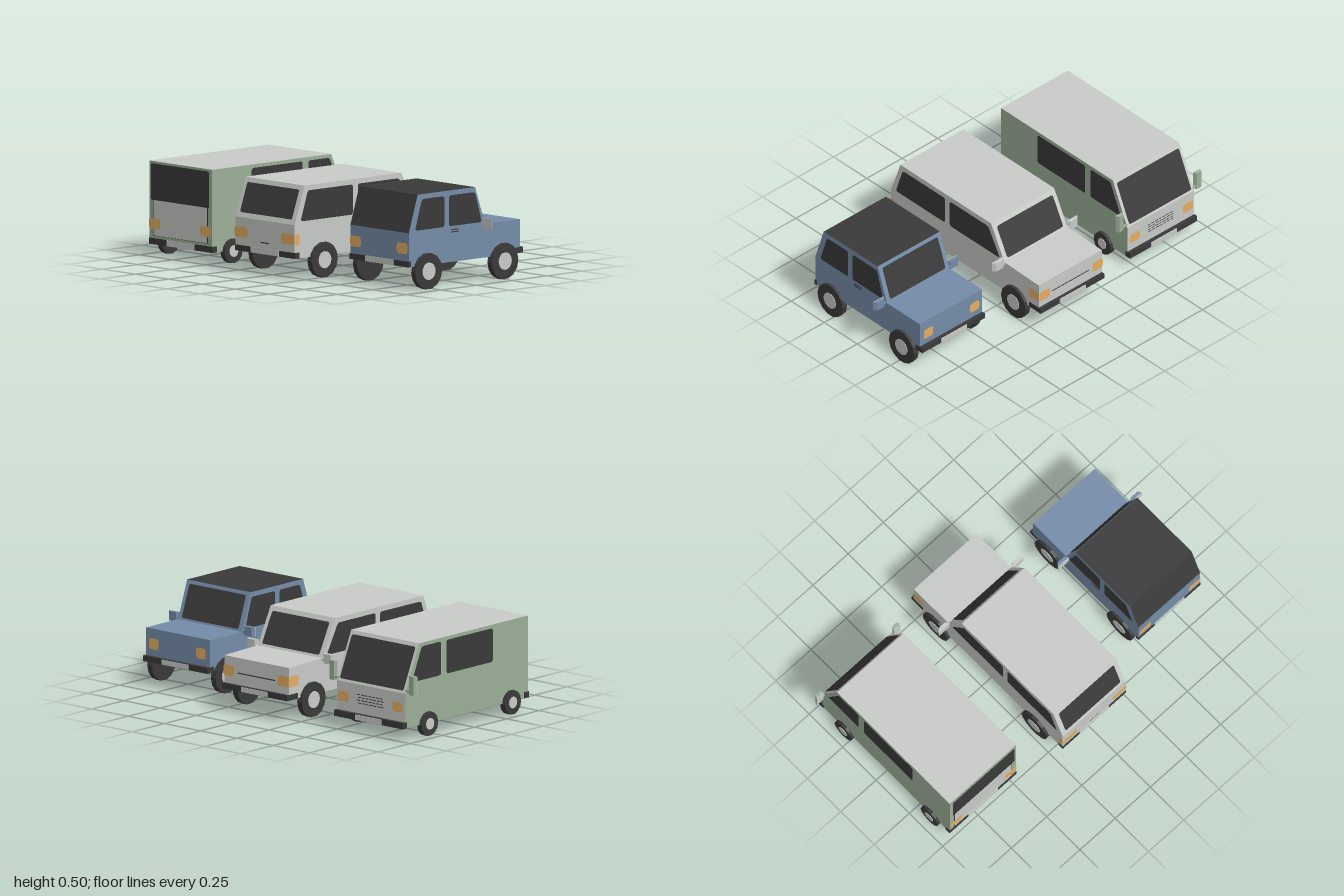
import * as THREE from 'three';

const paint = (name, color) => Object.assign(new THREE.MeshStandardMaterial({ color }), { name });

export function createModel() {
  const silver = paint('silver', 0xc8cbc7), blue = paint('blue', 0x758ca8), green = paint('green', 0x9bb098);
  const dark = paint('dark', 0x3a3a3a), amber = paint('amber', 0xe8ae62);
  const model = new THREE.Group();
  model.name = 'vehicles';

  const add = (parent, name, geo, mat, x = 0, y = 0, z = 0) => {
    const m = new THREE.Mesh(geo, mat);
    m.name = name;
    m.position.set(x, y, z);
    parent.add(m);
    return m;
  };
  const box = (parent, name, mat, x0, x1, y0, y1, z0, z1) =>
    add(parent, name, new THREE.BoxGeometry(Math.abs(x1 - x0), y1 - y0, Math.abs(z1 - z0)), mat,
      (x0 + x1) / 2, (y0 + y1) / 2, (z0 + z1) / 2);

  // Flat polygon with rounded corners
  function rounded(pts, r) {
    const v = pts.map(p => new THREE.Vector2(...p)), s = new THREE.Shape();
    v.forEach((p, i) => {
      const a = v[(i + v.length - 1) % v.length], b = v[(i + 1) % v.length];
      const p0 = a.clone().sub(p).setLength(r).add(p), p1 = b.clone().sub(p).setLength(r).add(p);
      if (i) s.lineTo(p0.x, p0.y); else s.moveTo(p0.x, p0.y);
      s.quadraticCurveTo(p.x, p.y, p1.x, p1.y);
    });
    s.closePath();
    return new THREE.ShapeGeometry(s, 3);
  }

  // Thin plates on both sides, outline given as [z, y]
  function sidePlates(car, name, half, pts, mat, r = 0.015) {
    for (const s of [1, -1]) {
      const g = rounded(pts.map(([z, y]) => [-s * z, y]), r);
      g.rotateY(s * Math.PI / 2);
      add(car, name, g, mat, s * (half + 0.003));
    }
  }

  // Thin plate on a front or rear face running from low [z, y] to high [z, y];
  // x0..x1 across and y0..y1 in height
  function endPlate(car, name, low, high, x0, x1, y0, y1, mat, r = 0.012, lift = 0.003) {
    const dir = low[0] > 0 ? 1 : -1;
    const V = new THREE.Vector3(0, high[1] - low[1], high[0] - low[0]).normalize();
    const U = new THREE.Vector3(dir, 0, 0), N = U.clone().cross(V);
    const v0 = (y0 - low[1]) / V.y, v1 = (y1 - low[1]) / V.y;
    const g = rounded([[dir * x0, v0], [dir * x1, v0], [dir * x1, v1], [dir * x0, v1]], r);
    g.applyMatrix4(new THREE.Matrix4().makeBasis(U, V, N)
      .setPosition(new THREE.Vector3(0, low[1], low[0]).addScaledVector(N, lift)));
    add(car, name, g, mat);
  }

  // Body shell: profile of [z, y, material of the strip to the next point]
  function body(car, half, profile, sideMat) {
    const pos = [], mats = [sideMat], g = new THREE.BufferGeometry();
    const tri = (...ps) => ps.forEach(p => pos.push(...p));
    const contour = profile.map(([z, y]) => new THREE.Vector2(-z, y));
    for (const f of THREE.ShapeUtils.triangulateShape(contour, [])) {
      const [a, b, c] = f.map(i => profile[i]);
      tri([half, a[1], a[0]], [half, b[1], b[0]], [half, c[1], c[0]]);
      tri([-half, c[1], c[0]], [-half, b[1], b[0]], [-half, a[1], a[0]]);
    }
    g.addGroup(0, pos.length / 3, 0);
    profile.forEach((p, i) => {
      const q = profile[(i + 1) % profile.length];
      g.addGroup(pos.length / 3, 6, mats.push(p[2]) - 1);
      const a = [half, p[1], p[0]], b = [-half, p[1], p[0]], c = [-half, q[1], q[0]], d = [half, q[1], q[0]];
      tri(a, c, b);
      tri(a, d, c);
    });
    g.setAttribute('position', new THREE.Float32BufferAttribute(pos, 3));
    g.computeVertexNormals();
    add(car, 'body', g, mats);
  }

  // Four tyres with pale hub caps
  function wheels(car, half, r, zs) {
    for (const s of [1, -1]) for (const z of zs) {
      const tyre = new THREE.CylinderGeometry(r, r, 0.032, 14).toNonIndexed().rotateZ(Math.PI / 2);
      tyre.computeVertexNormals();
      add(car, 'tyre', tyre, dark, s * (half - 0.016), r, z);
      add(car, 'hubCap', new THREE.CylinderGeometry(r * 0.48, r * 0.48, 0.006, 16).rotateZ(Math.PI / 2),
        silver, s * half, r, z);
    }
  }

  // Bumpers: full bar with number plate in front, corner pieces behind
  function bumpers(car, half, y0, y1, front, frontIn, rear, rearIn) {
    box(car, 'frontBumper', dark, -half - 0.002, half + 0.002, y0, y1, front, frontIn);
    box(car, 'frontNumberPlate', silver, -0.09, 0.09, y0 + 0.002, y1 - 0.002, front - 0.004, front + 0.002);
    for (const s of [1, -1])
      box(car, 'rearBumper', dark, s * 0.105, s * (half + 0.003), y0, y1, rearIn, rear + 0.003);
    box(car, 'rearNumberPlate', silver, -0.105, 0.105, y0, y1, rear - 0.01, rear + 0.004);
  }

  // Door mirrors: coloured housing with pale glass facing the rear
  function mirrors(car, x0, x1, y0, y1, z, mat, bodyHalf) {
    for (const s of [1, -1]) {
      const g = new THREE.BoxGeometry(x1 - x0, y1 - y0, 0.018), p = g.attributes.position;
      for (let i = 0; i < p.count; i++) if (p.getZ(i) < 0) p.setX(i, p.getX(i) * 0.65);
      g.computeVertexNormals();
      add(car, 'mirror', g, mat, s * (x0 + x1) / 2, (y0 + y1) / 2, z);
      box(car, 'mirrorGlass', silver, s * x0, s * x1, y0, y1, z + 0.009, z + 0.012);
      box(car, 'mirrorArm', mat, s * (bodyHalf - 0.01), s * (x0 + 0.015), y0 + 0.01, y0 + 0.022, z - 0.006, z + 0.006);
    }
  }

  function lights(car, z, inner, outer, y0, y1) {
    for (const s of [1, -1])
      endPlate(car, z > 0 ? 'rearLight' : 'frontLight', [z, 0], [z, 1],
        s > 0 ? inner : -outer, s > 0 ? outer : -inner, y0, y1, amber, 0.015, 0.006);
  }

  const vehicle = (name, x) => {
    const g = new THREE.Group();
    g.name = name;
    g.position.x = x;
    model.add(g);
    return g;
  };

  // Blue off-roader with dark soft top
  {
    const car = vehicle('offRoader', 0.7), h = 0.219;
    body(car, h, [[0.403, 0.125, blue], [0.403, 0.303, dark], [0.34, 0.498, dark], [-0.067, 0.498, blue],
      [-0.137, 0.3, blue], [-0.385, 0.3, blue], [-0.385, 0.125, dark]], blue);
    sidePlates(car, 'rearSideWindow', h, [[0.362, 0.312], [0.153, 0.312], [0.153, 0.473], [0.312, 0.473]], dark);
    sidePlates(car, 'frontSideWindow', h, [[0.12, 0.312], [-0.112, 0.312], [-0.064, 0.473], [0.12, 0.473]], dark);
    endPlate(car, 'windscreen', [-0.137, 0.3], [-0.067, 0.498], -0.195, 0.195, 0.31, 0.48, dark);
    for (const y of [0.281, 0.293])
      sidePlates(car, 'doorHandle', h, [[0.107, y - 0.003], [0.053, y - 0.003], [0.053, y + 0.003], [0.107, y + 0.003]], dark, 0.001);
    lights(car, 0.403, 0.135, 0.215, 0.193, 0.25);
    lights(car, -0.385, 0.13, 0.195, 0.193, 0.25);
    bumpers(car, h, 0.125, 0.155, -0.406, -0.355, 0.402, 0.39);
    mirrors(car, 0.222, 0.297, 0.283, 0.333, -0.126, blue, h);
    wheels(car, 0.235, 0.095, [0.276, -0.264]);
  }

  // Silver estate car
  {
    const car = vehicle('estateCar', 0.012), h = 0.222;
    body(car, h, [[0.565, 0.115, silver], [0.565, 0.29, silver], [0.495, 0.49, silver], [-0.19, 0.49, silver],
      [-0.29, 0.295, silver], [-0.55, 0.288, silver], [-0.55, 0.115, dark]], silver);
    sidePlates(car, 'rearSideWindow', h, [[0.526, 0.306], [0.155, 0.306], [0.155, 0.463], [0.474, 0.463]], dark);
    sidePlates(car, 'frontSideWindow', h, [[0.12, 0.306], [-0.26, 0.306], [-0.172, 0.463], [0.12, 0.463]], dark);
    endPlate(car, 'rearWindow', [0.565, 0.29], [0.495, 0.49], -0.195, 0.195, 0.315, 0.466, dark);
    endPlate(car, 'windscreen', [-0.29, 0.295], [-0.19, 0.49], -0.197, 0.197, 0.306, 0.466, dark);
    endPlate(car, 'bootHandle', [0.565, 0], [0.565, 1], -0.032, 0.032, 0.172, 0.178, dark, 0.001);
    endPlate(car, 'grilleSlot', [-0.55, 0], [-0.55, 1], -0.13, 0.13, 0.205, 0.211, dark, 0.001);
    lights(car, 0.565, 0.125, 0.224, 0.188, 0.242);
    lights(car, -0.55, 0.15, 0.224, 0.185, 0.242);
    for (const [a, b] of [[0.567, 0.535], [-0.48, -0.552]])
      sidePlates(car, 'sideLight', h, [[a, 0.185], [b, 0.185], [b, 0.241], [a, 0.241]], amber, 0.006);
    bumpers(car, h, 0.115, 0.145, -0.567, -0.48, 0.564, 0.535);
    mirrors(car, 0.225, 0.3, 0.272, 0.323, -0.29, silver, h);
    wheels(car, 0.238, 0.093, [0.367, -0.375]);
  }

  // Green van with silver roof and nose
  {
    const car = vehicle('van', -0.703), h = 0.235;
    body(car, h, [[0.487, 0.065, green], [0.487, 0.498, silver], [-0.357, 0.498, silver],
      [-0.467, 0.25, silver], [-0.467, 0.065, dark]], green);
    sidePlates(car, 'rearSideWindow', h, [[0.21, 0.302], [-0.152, 0.302], [-0.152, 0.48], [0.21, 0.48]], dark);
    sidePlates(car, 'frontSideWindow', h, [[-0.192, 0.302], [-0.42, 0.302], [-0.342, 0.48], [-0.192, 0.48]], dark);
    const back = [[0.487, 0], [0.487, 1]], nose = [[-0.467, 0], [-0.467, 1]];
    endPlate(car, 'tailgateSeam', ...back, -0.206, 0.206, 0.11, 0.31, dark, 0.005, 0.002);
    endPlate(car, 'tailgatePanel', ...back, -0.2, 0.2, 0.112, 0.3, silver, 0.005, 0.004);
    endPlate(car, 'rearWindow', ...back, -0.219, 0.219, 0.297, 0.487, dark, 0.012, 0.006);
    endPlate(car, 'windscreen', [-0.467, 0.25], [-0.357, 0.498], -0.219, 0.219, 0.262, 0.478, dark);
    // Rows of grille slots
    for (let row = 0; row < 4; row++) for (let i = -3; i <= 3; i++) {
      const x = i * 0.026 + (row % 2) * 0.006, y = 0.15 + row * 0.015;
      endPlate(car, 'grilleSlot', ...nose, x - 0.01, x + 0.01, y, y + 0.005, dark, 0.001);
    }
    lights(car, 0.487, 0.15, 0.234, 0.147, 0.2);
    lights(car, -0.467, 0.15, 0.222, 0.147, 0.2);
    bumpers(car, h, 0.065, 0.097, -0.489, -0.455, 0.486, 0.457);
    mirrors(car, 0.25, 0.297, 0.246, 0.347, -0.455, green, h);
    wheels(car, 0.252, 0.064, [0.35, -0.295]);
  }

  return model;
}
